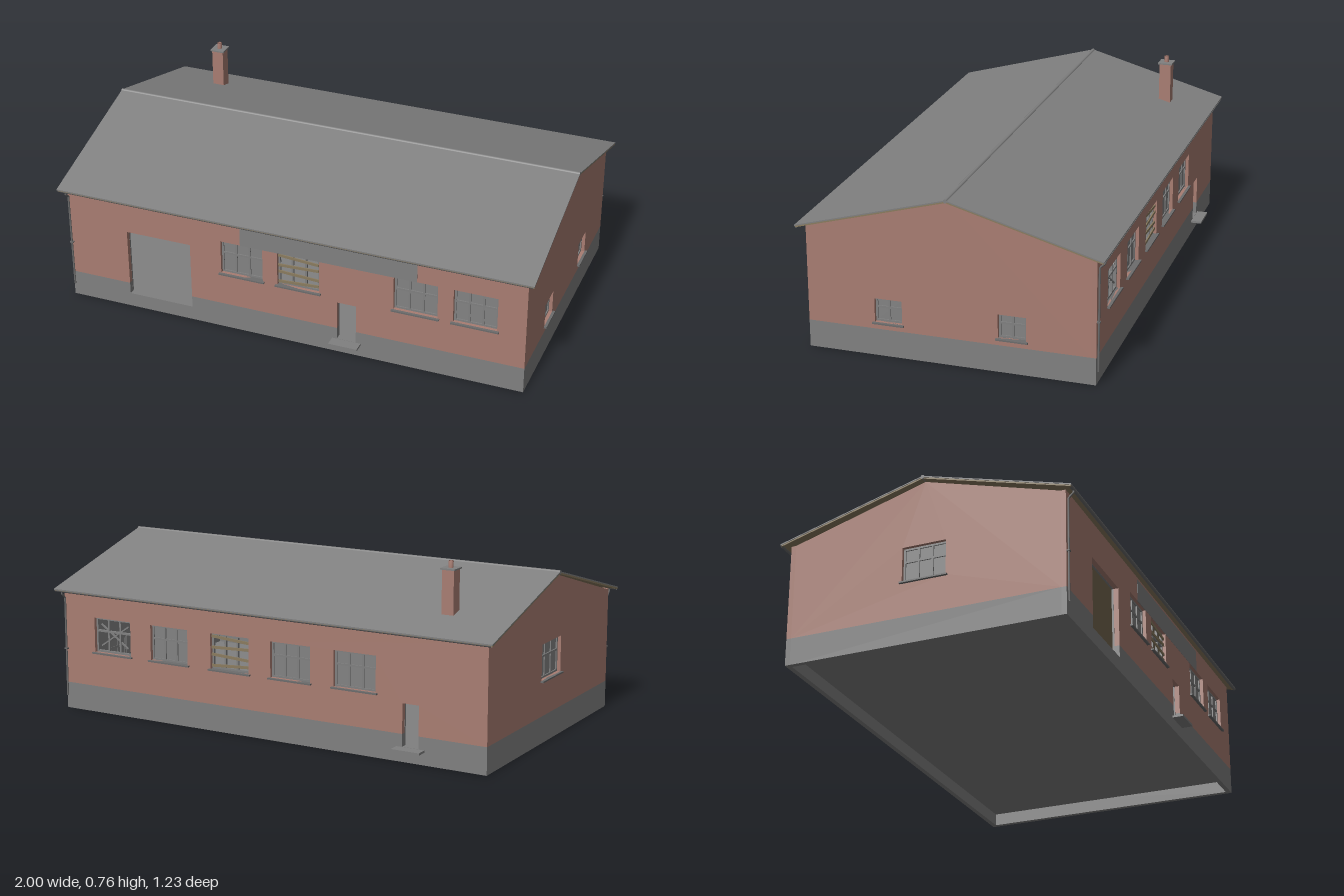
import * as THREE from 'three';

const mat = (name, color, side = THREE.FrontSide) => {
  const m = new THREE.MeshStandardMaterial({ color, side });
  m.name = name;
  return m;
};

export function createModel() {
  const house = new THREE.Group();
  house.name = 'house';
  const brick = mat('brick', 0xa87d72);
  const concrete = mat('concrete', 0x808080);
  const glass = mat('glass', 0x828282, THREE.DoubleSide);
  const metal = mat('metal', 0x6c6c6c, THREE.DoubleSide);
  const wood = mat('wood', 0x8a7b5f);

  const add = (parent, name, geo, material, x = 0, y = 0, z = 0) => {
    const m = new THREE.Mesh(geo, material);
    m.name = name;
    m.position.set(x, y, z);
    parent.add(m);
    return m;
  };
  const box = (parent, name, material, x0, x1, y0, y1, z0, z1) =>
    add(parent, name, new THREE.BoxGeometry(x1 - x0, y1 - y0, z1 - z0), material,
      (x0 + x1) / 2, (y0 + y1) / 2, (z0 + z1) / 2);
  const shapeOf = pts => new THREE.Shape(pts.map(p => new THREE.Vector2(...p)));
  const extrude = (shape, depth) => new THREE.ExtrudeGeometry(shape, { depth, bevelEnabled: false });

  const PLINTH = 0.11, FLOOR = 0.06, EAVE = 0.505, RIDGE = 0.665;

  // Upright wall sheet with door notches in its foot and window holes
  const sheet = (w, y0, doors, windows, gable) => {
    const pts = [[-w, y0]];
    for (const [a, b, top] of doors) pts.push([a, y0], [a, top], [b, top], [b, y0]);
    pts.push([w, y0], [w, EAVE]);
    if (gable) pts.push([0, RIDGE]);
    pts.push([-w, EAVE]);
    const s = shapeOf(pts);
    for (const { a, b, y0: c, y1: d } of windows) {
      s.holes.push(new THREE.Path([[a, c], [a, d], [b, d], [b, c]].map(p => new THREE.Vector2(...p))));
    }
    return s;
  };

  // Window with frame, bars and sill; kind is glazed, open or boarded
  const addWindow = (wall, { a, b, y0, y1, kind, cols }) => {
    const g = new THREE.Group();
    g.name = 'window';
    wall.add(g);
    const w = b - a, h = y1 - y0, t = 0.008, zf = -0.014, zb = -0.024;
    for (let i = 0; i <= cols; i++) {
      const x = a + t / 2 + (w - t) * i / cols;
      box(g, 'frameUpright', concrete, x - t / 2, x + t / 2, y0, y1, zb, zf);
    }
    for (const f of [0, 0.62, 1]) {
      const y = y0 + t / 2 + (h - t) * f;
      box(g, 'frameRail', concrete, a, b, y - t / 2, y + t / 2, zb, zf);
    }
    if (kind === 'glazed') box(g, 'pane', glass, a, b, y0, y1, -0.021, -0.019);
    if (kind === 'open') {
      for (const s of [1, -1]) {
        add(g, 'brokenBar', new THREE.BoxGeometry(w * 0.9, 0.006, 0.005), concrete,
          (a + b) / 2, (y0 + y1) / 2, -0.018).rotation.z = s * 0.6;
      }
    }
    if (kind === 'boarded') {
      [0.06, -0.05, 0.04, -0.07].forEach((tilt, i) => {
        add(g, 'board', new THREE.BoxGeometry(w * 0.97, 0.011, 0.005), wood,
          (a + b) / 2, y0 + h * (0.13 + 0.25 * i), -0.008).rotation.z = tilt;
      });
    }
    box(g, 'sill', metal, a - 0.008, b + 0.008, y0 - 0.006, y0, -0.02, 0.011);
  };

  // One complete side: brick skin, plinth, inner lining, windows
  const addWall = (name, w, offset, angle, doors, windows, gable = false) => {
    const g = new THREE.Group();
    g.name = name;
    g.rotation.y = angle;
    g.position.set(Math.sin(angle) * offset, 0, Math.cos(angle) * offset);
    house.add(g);
    const skinW = gable ? w - 0.02 : w;
    add(g, 'brickSkin', extrude(sheet(skinW, PLINTH, doors, windows, gable), 0.02), brick, 0, 0, -0.02);
    const base = [[-skinW, 0], [skinW, 0], [skinW, PLINTH]];
    for (const [a, b] of [...doors].reverse()) base.push([b, PLINTH], [b, FLOOR], [a, FLOOR], [a, PLINTH]);
    base.push([-skinW, PLINTH]);
    add(g, 'plinth', extrude(shapeOf(base), 0.02), concrete, 0, 0, -0.02);
    add(g, 'lining', extrude(sheet(w - 0.021, FLOOR - 0.004, doors, windows, gable), 0.008), concrete, 0, 0, -0.0285);
    windows.forEach(o => addWindow(g, o));
    return g;
  };
  const big = (a, b, kind = 'glazed') => ({ a, b, y0: 0.255, y1: 0.4, kind, cols: 3 });
  const small = (a, b) => ({ a, b, y0: 0.138, y1: 0.235, kind: 'glazed', cols: 2 });

  const front = addWall('frontWall', 0.97, 0.57, 0,
    [[-0.71, -0.43, 0.353], [0.2, 0.28, 0.23]],
    [big(-0.295, -0.115), big(-0.052, 0.125, 'boarded'), big(0.435, 0.615), big(0.678, 0.855)]);
  box(front, 'lintel', concrete, -0.21, 0.53, 0.4, 0.495, -0.004, 0.001);
  box(front, 'doorStep', concrete, 0.18, 0.3, 0.05, 0.059, -0.02, 0.045);

  const back = addWall('backWall', 0.97, 0.57, Math.PI,
    [[0.615, 0.685, 0.23]],
    [big(-0.82, -0.64, 'open'), big(-0.54, -0.36), big(-0.25, -0.07, 'boarded'),
      big(0.03, 0.21), big(0.315, 0.5)]);
  box(back, 'doorStep', concrete, 0.59, 0.71, 0.05, 0.059, -0.02, 0.045);

  addWall('leftGable', 0.57, 0.97, Math.PI / 2, [], [small(-0.3, -0.19), small(0.19, 0.3)], true);
  addWall('rightGable', 0.57, 0.97, -Math.PI / 2, [], [big(-0.09, 0.09)], true);

  box(house, 'floor', concrete, -0.95, 0.95, 0.052, FLOOR, -0.55, 0.55);

  // Roof: timber layer under a covering, both swept along the ridge
  const roofLayer = (name, material, top, thick, half, length) => {
    const drop = half * 0.278;
    const s = shapeOf([[-half, top - drop - thick], [0, top - thick], [half, top - drop - thick],
      [half, top - drop], [0, top], [-half, top - drop]]);
    add(house, name, extrude(s, length), material, -length / 2).rotation.y = Math.PI / 2;
  };
  roofLayer('roofCovering', concrete, 0.676, 0.005, 0.603, 2);
  roofLayer('roofTimber', wood, 0.671, 0.006, 0.6, 1.996);
  add(house, 'ridgeCap', new THREE.CylinderGeometry(0.008, 0.008, 2, 10), concrete, 0, 0.672, 0)
    .rotation.z = Math.PI / 2;

  // Gutters and downpipes, one pipe per long side
  for (const s of [1, -1]) {
    const gutter = add(house, 'gutter',
      new THREE.CylinderGeometry(0.007, 0.007, 1.99, 8, 1, true, 0, Math.PI), metal, 0, 0.503, s * 0.598);
    gutter.rotation.set(0, 0, -Math.PI / 2);
    const x = -s * 0.963;
    const path = new THREE.CurvePath();
    const pts = [[0.598, 0.498], [0.598, 0.49], [0.577, 0.47], [0.577, 0.055]]
      .map(([z, y]) => new THREE.Vector3(x, y, s * z));
    for (let i = 0; i < 3; i++) path.add(new THREE.LineCurve3(pts[i], pts[i + 1]));
    add(house, 'downpipe', new THREE.TubeGeometry(path, 60, 0.004, 8), metal);
    add(house, 'pipeBracket', new THREE.BoxGeometry(0.014, 0.005, 0.016), metal, x, 0.255, s * 0.575);
  }

  // Chimney
  const chimney = new THREE.Group();
  chimney.name = 'chimney';
  chimney.position.set(-0.73, 0, -0.407);
  house.add(chimney);
  box(chimney, 'stack', brick, -0.025, 0.025, 0.54, 0.73, -0.025, 0.025);
  box(chimney, 'cap', concrete, -0.031, 0.031, 0.728, 0.734, -0.031, 0.031);
  add(chimney, 'pot', new THREE.LatheGeometry([[0.01, 0.734], [0.01, 0.76], [0.006, 0.76], [0.006, 0.736], [0, 0.736]]
    .map(p => new THREE.Vector2(...p)), 12), brick);

  return house;
}
